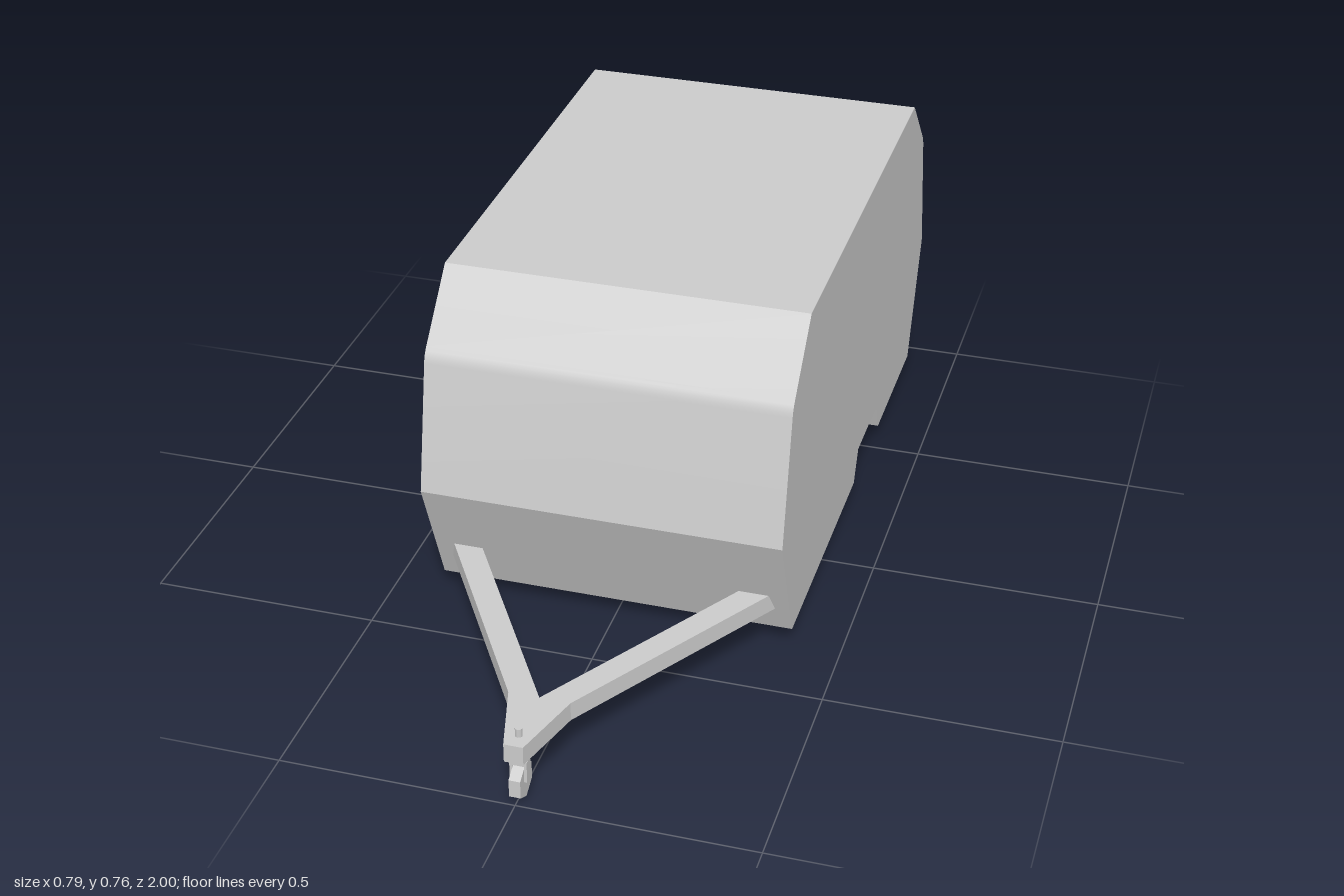
import * as THREE from 'three';
import { toCreasedNormals } from 'three/addons/utils/BufferGeometryUtils.js';

const HALF = 0.393;      // half the body width
const MID = -0.278;      // z of the body's middle
const FLOOR = 0.04;
const WELL = 0.08;       // depth of the wheel wells

const v = (x, y) => new THREE.Vector2(x, y);

// Sheet swept across x from x0 to x1 along a list of (z, y) points
function sweep(points, x0, x1) {
  const pos = [];
  for (let i = 0; i < points.length - 1; i++) {
    const p = points[i], q = points[i + 1];
    pos.push(x0, p.y, p.x, x1, p.y, p.x, x1, q.y, q.x);
    pos.push(x0, p.y, p.x, x1, q.y, q.x, x0, q.y, q.x);
  }
  const g = new THREE.BufferGeometry();
  g.setAttribute('position', new THREE.Float32BufferAttribute(pos, 3));
  return toCreasedNormals(g, 0.35);
}

// Flat panel with a (z, y) outline, facing away from the middle at the given x
function sidePanel(points, x) {
  const mirrored = x > 0 ? points.map(p => v(-p.x, p.y)) : points;
  const g = new THREE.ShapeGeometry(new THREE.Shape(mirrored));
  g.rotateY(x > 0 ? Math.PI / 2 : -Math.PI / 2);
  return g.translate(x, 0, 0);
}

export function createModel() {
  const model = new THREE.Group();
  const material = new THREE.MeshStandardMaterial({ color: 0xcccccc });
  const sheet = new THREE.MeshStandardMaterial({ color: 0xcccccc, side: THREE.DoubleSide });
  const add = (name, geometry, parent = model, mat = material) => {
    const mesh = new THREE.Mesh(geometry, mat);
    mesh.name = name;
    parent.add(mesh);
    return mesh;
  };

  // Front half of the body profile, with a softly rounded bend
  const low = v(0.721, 0.315), bend = v(0.661, 0.615), top = v(0.521, 0.76);
  const curve = new THREE.QuadraticBezierCurve(
    bend.clone().lerp(low, 0.06), bend, bend.clone().lerp(top, 0.09));
  const half = [v(0.608, FLOOR), low, ...curve.getPoints(4), top];
  const profile = [
    ...half.map(p => v(MID + p.x, p.y)),
    ...half.slice().reverse().map(p => v(MID - p.x, p.y)),
  ];
  const well = [v(-0.535, FLOOR), v(-0.505, 0.112), v(-0.305, 0.112), v(-0.27, FLOOR)];

  // Body shell
  const body = new THREE.Group();
  body.name = 'body';
  model.add(body);
  add('outerSkin', sweep(profile, -HALF, HALF), body, sheet);

  // Side walls and wheel wells
  for (const s of [-1, 1]) {
    const side = s > 0 ? 'left' : 'right';
    const inner = s * (HALF - WELL);
    add(side + 'Wall', sidePanel([...profile, ...well], s * HALF), body, sheet);
    add(side + 'WheelWell', sweep(well, Math.min(inner, s * HALF), Math.max(inner, s * HALF)), body, sheet);
    add(side + 'WheelWellBack', sidePanel(well, inner), body, sheet);
  }

  // Floor, cut away at the wells
  const zf = MID + 0.608, zr = MID - 0.608, in0 = HALF - WELL;
  const rightEdge = [[HALF, zr], [HALF, -0.535], [in0, -0.535], [in0, -0.27], [HALF, -0.27], [HALF, zf]];
  const floorShape = new THREE.Shape([
    ...rightEdge.map(([x, z]) => v(x, z)),
    ...rightEdge.slice().reverse().map(([x, z]) => v(-x, z)),
  ]);
  add('floor', new THREE.ShapeGeometry(floorShape).rotateX(Math.PI / 2).translate(0, FLOOR, 0), body, sheet);

  // A-frame drawbar
  const bar = new THREE.Shape([
    v(0.02, 1), v(-0.02, 1), v(-0.065, 0.84), v(-0.371, 0.34), v(-0.306, 0.34),
    v(0, 0.84), v(0.306, 0.34), v(0.371, 0.34), v(0.065, 0.84),
  ]);
  add('drawbar', new THREE.ExtrudeGeometry(bar, { depth: 0.042, bevelEnabled: false })
    .rotateX(Math.PI / 2).translate(0, 0.147, 0));

  // Jockey wheel hung from a pin through the tip of the drawbar
  const jockey = new THREE.Group();
  jockey.name = 'jockeyWheel';
  jockey.position.z = 0.965;
  model.add(jockey);
  add('post', new THREE.CylinderGeometry(0.008, 0.008, 0.08, 8), jockey).position.y = 0.126;
  add('forkTop', new THREE.BoxGeometry(0.036, 0.01, 0.022), jockey).position.y = 0.085;
  for (const s of [-1, 1]) {
    add('forkArm', new THREE.BoxGeometry(0.006, 0.046, 0.022), jockey).position.set(s * 0.015, 0.065, 0);
  }
  const tyre = toCreasedNormals(new THREE.CylinderGeometry(0.04, 0.04, 0.024, 6), 0.3);
  tyre.rotateZ(Math.PI / 2).rotateX(Math.PI / 2);
  const wheel = add('tyre', tyre, jockey);
  wheel.position.y = 0.04;

  return model;
}
